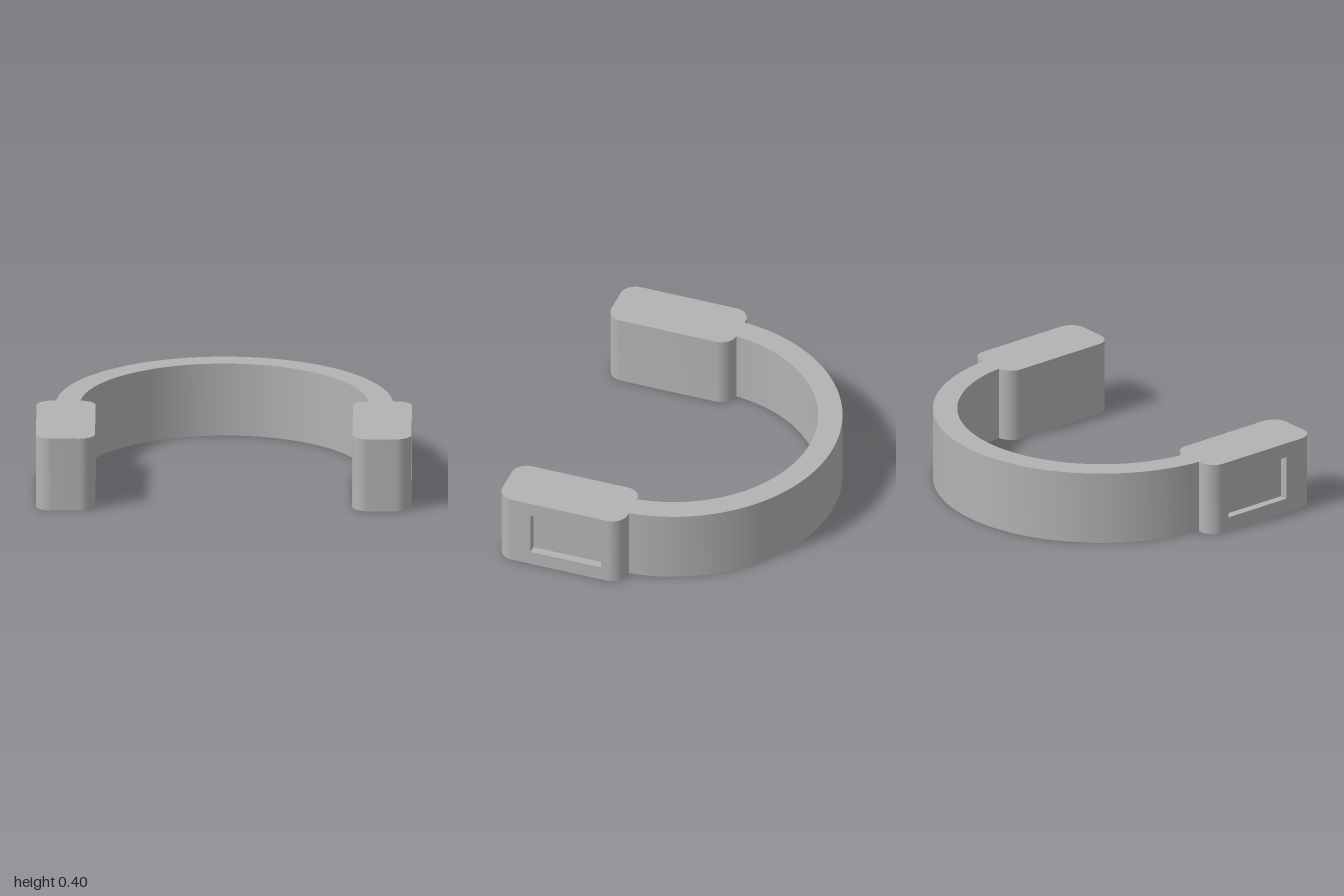
import * as THREE from 'three';
import { mergeGeometries, toCreasedNormals } from 'three/addons/utils/BufferGeometryUtils.js';

const H = 0.4;                                           // height of every part
const POD = { x0: 0.685, x1: 1, z0: 0.055, z1: 0.765, r: 0.085 };
const POCKET = { z0: 0.175, z1: 0.575, y0: 0.08, y1: 0.32, depth: 0.045 };

// Extrude a plan outline (shape y = -z) upward from y = 0
function extrudeUp(shape, curveSegments) {
  return new THREE.ExtrudeGeometry(shape, { depth: H, bevelEnabled: false, curveSegments })
    .rotateX(-Math.PI / 2);
}

// Drop the triangles lying in the plane x = value; optionally turn the rest inside out
function openAtX(geometry, value, flip = false) {
  const src = geometry.index ? geometry.toNonIndexed() : geometry;
  const p = src.attributes.position;
  const out = [];
  for (let i = 0; i < p.count; i += 3) {
    const tri = flip ? [i, i + 2, i + 1] : [i, i + 1, i + 2];
    if (tri.every(k => Math.abs(p.getX(k) - value) < 1e-4)) continue;
    for (const k of tri) out.push(p.getX(k), p.getY(k), p.getZ(k));
  }
  return bare(out);
}

function bare(positions) {
  const g = new THREE.BufferGeometry();
  g.setAttribute('position', new THREE.Float32BufferAttribute(positions, 3));
  return g;
}

function rectangle(path, x0, y0, x1, y1) {
  path.moveTo(x0, y0).lineTo(x1, y0).lineTo(x1, y1).lineTo(x0, y1).closePath();
  return path;
}

// C-shaped band whose ends meet the back faces of the pods
function bandGeometry() {
  const cz = 0.13, outer = 0.9, inner = 0.77;
  const a = Math.asin((cz - POD.z0) / outer), b = Math.asin((cz - POD.z0) / inner);
  const s = new THREE.Shape();
  s.absarc(0, -cz, outer, a, Math.PI - a, false);
  s.absarc(0, -cz, inner, Math.PI - b, b, true);
  s.closePath();
  return toCreasedNormals(extrudeUp(s, 64), 0.5);
}

// Rounded pod with a rectangular pocket in its outer face
function podGeometry() {
  const { x0, x1, z0, z1, r } = POD;
  const s = new THREE.Shape();
  s.absarc(x1 - r, -z1 + r, r, -Math.PI / 2, 0, false);
  s.absarc(x1 - r, -z0 - r, r, 0, Math.PI / 2, false);
  s.absarc(x0 + r, -z0 - r, r, Math.PI / 2, Math.PI, false);
  s.absarc(x0 + r, -z1 + r, r, Math.PI, Math.PI * 1.5, false);
  s.closePath();
  const shell = openAtX(extrudeUp(s, 12), x1);

  // Outer wall with the pocket opening
  const wall = rectangle(new THREE.Shape(), -z1 + r, 0, -z0 - r, H);
  wall.holes.push(rectangle(new THREE.Path(), -POCKET.z1, POCKET.y0, -POCKET.z0, POCKET.y1));
  const wallGeo = new THREE.ShapeGeometry(wall).rotateY(Math.PI / 2).translate(x1, 0, 0);
  const outerWall = bare(Array.from(wallGeo.toNonIndexed().attributes.position.array));

  // Inside of the pocket
  const box = new THREE.BoxGeometry(POCKET.depth, POCKET.y1 - POCKET.y0, POCKET.z1 - POCKET.z0)
    .translate(x1 - POCKET.depth / 2, (POCKET.y0 + POCKET.y1) / 2, (POCKET.z0 + POCKET.z1) / 2);
  const pocket = openAtX(box, x1, true);

  return toCreasedNormals(mergeGeometries([shell, outerWall, pocket]), 0.5);
}

export function createModel() {
  const model = new THREE.Group();
  model.name = 'bracket';
  const grey = new THREE.MeshStandardMaterial({ color: 0xb3b3b3 });
  grey.name = 'grey';

  const add = (name, geometry) => {
    const mesh = new THREE.Mesh(geometry, grey);
    mesh.name = name;
    model.add(mesh);
    return mesh;
  };

  add('curvedBand', bandGeometry());
  const pod = podGeometry();
  add('leftPod', pod);

  // The pod is symmetric in height, so a half turn about z mirrors it
  const rightPod = add('rightPod', pod);
  rightPod.rotation.z = Math.PI;
  rightPod.position.y = H;

  return model;
}
